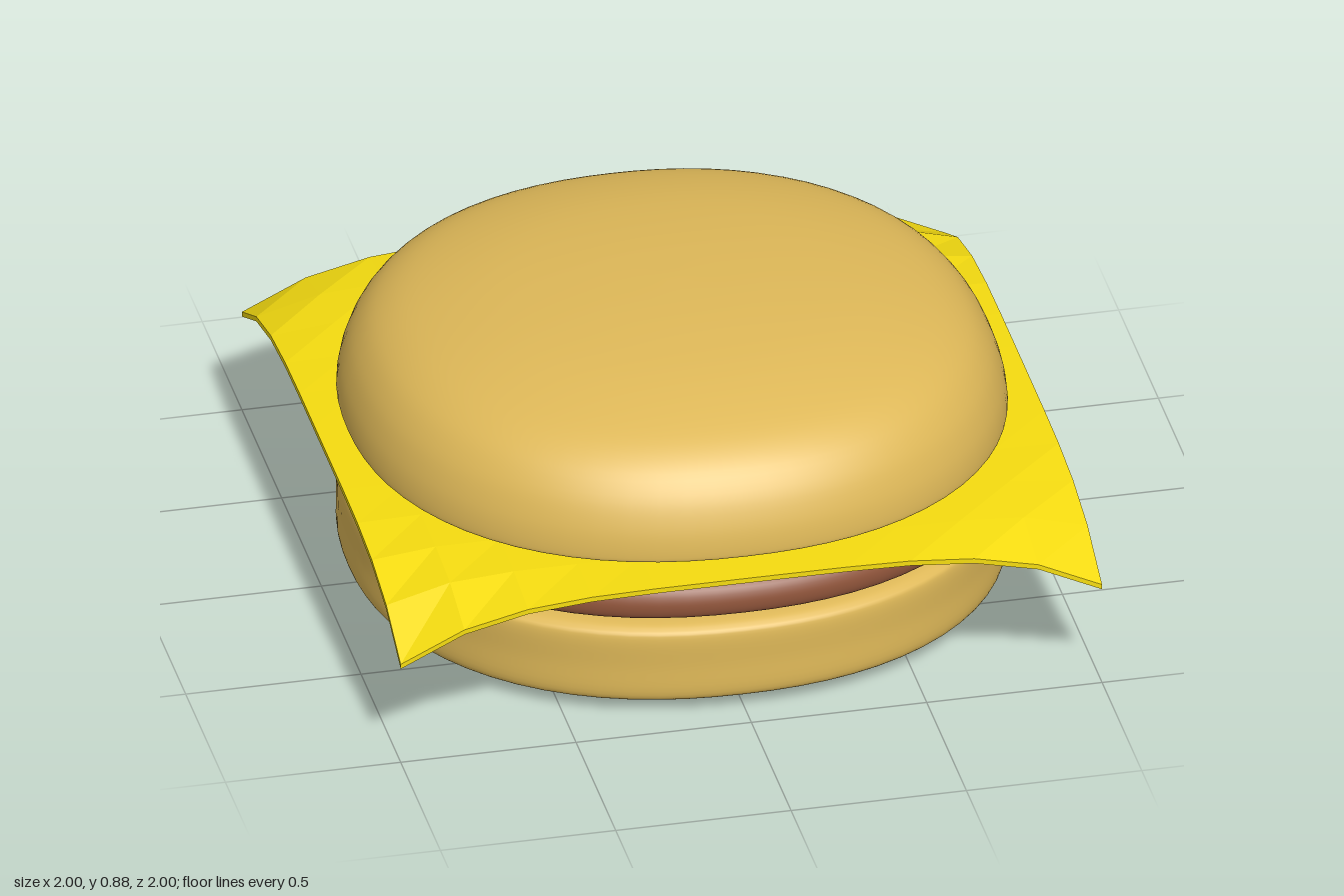
import * as THREE from 'three';
import { mergeVertices } from 'three/addons/utils/BufferGeometryUtils.js';

const SQUIRCLE = 2.2; // roundness exponent of the slightly squared outline

// Smooth solid of revolution, its outline eased from a circle towards a rounded square
function roundLayer(name, color, profile) {
  const curve = new THREE.SplineCurve(profile.map(([r, y]) => new THREE.Vector2(r, y)));
  const points = curve.getPoints(56).map((p) => new THREE.Vector2(Math.max(p.x, 0), p.y));
  let geo = new THREE.LatheGeometry(points, 72);
  const pos = geo.attributes.position;
  for (let i = 0; i < pos.count; i++) {
    const x = pos.getX(i), z = pos.getZ(i), r = Math.hypot(x, z);
    if (r < 1e-5) {
      pos.setXYZ(i, 0, pos.getY(i), 0);
      continue;
    }
    const k = Math.pow(Math.abs(x / r) ** SQUIRCLE + Math.abs(z / r) ** SQUIRCLE, -1 / SQUIRCLE);
    pos.setXYZ(i, x * k, pos.getY(i), z * k);
  }
  // Weld the seam and poles so the normals run smoothly
  geo.deleteAttribute('uv');
  geo.deleteAttribute('normal');
  geo = mergeVertices(geo, 1e-4);
  geo.computeVertexNormals();
  const mesh = new THREE.Mesh(geo, new THREE.MeshStandardMaterial({ color }));
  mesh.name = name;
  return mesh;
}

// Thin square slice whose corners droop
function cheeseSlice() {
  const thickness = 0.015, top = 0.465;
  const geo = new THREE.BoxGeometry(2, thickness, 2, 11, 1, 11);
  const pos = geo.attributes.position;
  const reach = Math.SQRT2 - 1;
  for (let i = 0; i < pos.count; i++) {
    const over = Math.max(0, Math.hypot(pos.getX(i), pos.getZ(i)) - 1);
    const drop = 0.15 * Math.pow(over / reach, 2.5);
    pos.setY(i, pos.getY(i) + top - thickness / 2 - drop);
  }
  geo.computeVertexNormals();
  const mesh = new THREE.Mesh(geo, new THREE.MeshStandardMaterial({ color: 0xf5dc10, flatShading: true }));
  mesh.name = 'cheeseSlice';
  return mesh;
}

export function createModel() {
  const group = new THREE.Group();
  group.name = 'cheeseburger';
  const bun = 0xdeb858;

  group.add(
    // Bottom bun: thick disc with softened rims
    roundLayer('bottomBun', bun, [
      [0, 0], [0.4, 0.004], [0.7, 0.012], [0.85, 0.022], [0.905, 0.037], [0.925, 0.065], [0.925, 0.15],
      [0.925, 0.235], [0.91, 0.262], [0.86, 0.276], [0.7, 0.281], [0.4, 0.284], [0, 0.285],
    ]),
    // Patty
    roundLayer('patty', 0x8f543a, [
      [0, 0.283], [0.4, 0.284], [0.7, 0.288], [0.86, 0.294], [0.91, 0.303], [0.925, 0.322], [0.923, 0.36],
      [0.9, 0.395], [0.84, 0.422], [0.7, 0.437], [0.4, 0.446], [0, 0.448],
    ]),
    cheeseSlice(),
    // Top bun: domed
    roundLayer('topBun', bun, [
      [0, 0.467], [0.4, 0.468], [0.7, 0.472], [0.86, 0.477], [0.915, 0.486], [0.925, 0.505], [0.912, 0.58],
      [0.875, 0.665], [0.81, 0.738], [0.7, 0.793], [0.5, 0.842], [0.25, 0.869], [0, 0.877],
    ]),
  );
  return group;
}
